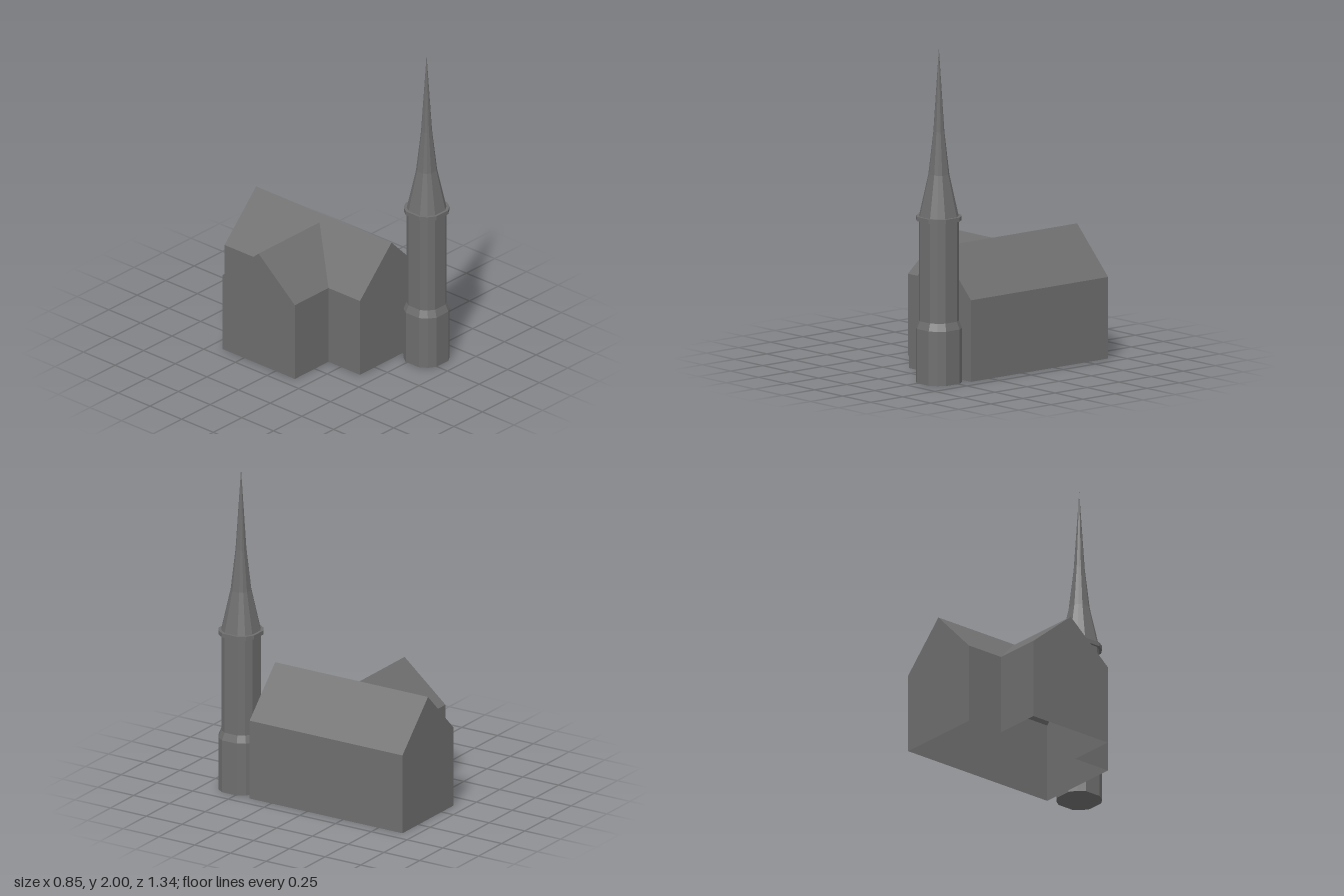
import * as THREE from 'three';

const wallMat = new THREE.MeshStandardMaterial({ color: 0x6e6e6e, flatShading: true, side: THREE.DoubleSide });
const towerMat = new THREE.MeshStandardMaterial({ color: 0x6e6e6e, flatShading: true });

// One mesh from convex faces, each a counter-clockwise list of corners
function faces(name, list) {
  const pos = [];
  for (const f of list)
    for (let i = 1; i < f.length - 1; i++) pos.push(...f[0], ...f[i], ...f[i + 1]);
  const g = new THREE.BufferGeometry();
  g.setAttribute('position', new THREE.Float32BufferAttribute(pos, 3));
  g.computeVertexNormals();
  const mesh = new THREE.Mesh(g, wallMat);
  mesh.name = name;
  return mesh;
}

// Twelve-sided turned part: corners pushed so four sides are wide and the rest narrow
function turned(name, profile) {
  const pts = profile.map(([r, y]) => new THREE.Vector2(r / Math.cos(Math.PI / 8), y));
  const g = new THREE.LatheGeometry(pts, 12, Math.PI / 4);
  const p = g.attributes.position;
  for (let i = 0; i < p.count; i++) {
    const k = Math.floor(i / pts.length);
    const a = Math.PI / 4 + Math.floor(k / 3) * Math.PI / 2 + [0, 22.5, 67.5][k % 3] * Math.PI / 180;
    const r = pts[i % pts.length].x;
    p.setX(i, r * Math.sin(a));
    p.setZ(i, r * Math.cos(a));
  }
  g.computeVertexNormals();
  const mesh = new THREE.Mesh(g, towerMat);
  mesh.name = name;
  return mesh;
}

export function createModel() {
  const model = new THREE.Group();
  model.name = 'church';

  // Nave: x0..x1, z0..z1; wing: from xw to x0, w0..w1
  const x0 = -0.13, x1 = 0.423, xr = 0.147, z0 = -0.668, z1 = 0.401;
  const xw = -0.425, w0 = -0.42, w1 = 0.152, wr = -0.134;
  const eave = 0.488, ridge = 0.768, wingRidge = 0.73;
  const xj = x0 + (xr - x0) * (wingRidge - eave) / (ridge - eave);
  const join = [xj, wingRidge, wr];

  // Nave walls, open below and towards the wing
  model.add(faces('naveWalls', [
    [[x0, 0, z1], [x1, 0, z1], [x1, eave, z1], [xr, ridge, z1], [x0, eave, z1]],
    [[x1, 0, z0], [x0, 0, z0], [x0, eave, z0], [xr, ridge, z0], [x1, eave, z0]],
    [[x1, 0, z1], [x1, 0, z0], [x1, eave, z0], [x1, eave, z1]],
    [[x0, 0, w1], [x0, 0, z1], [x0, eave, z1], [x0, eave, w1]],
    [[x0, 0, z0], [x0, 0, w0], [x0, eave, w0], [x0, eave, z0]],
  ]));

  // Nave roof, its wing side notched along the valleys
  model.add(faces('naveRoof', [
    [[x1, eave, z1], [x1, eave, z0], [xr, ridge, z0], [xr, ridge, z1]],
    [[x0, eave, w1], [x0, eave, z1], [xr, ridge, z1], join],
    [[x0, eave, z0], [x0, eave, w0], join, [xr, ridge, z0]],
    [join, [xr, ridge, z1], [xr, ridge, z0]],
  ]));

  // Side wing
  model.add(faces('wingWalls', [
    [[xw, 0, w0], [xw, 0, w1], [xw, eave, w1], [xw, wingRidge, wr], [xw, eave, w0]],
    [[xw, 0, w1], [x0, 0, w1], [x0, eave, w1], [xw, eave, w1]],
    [[x0, 0, w0], [xw, 0, w0], [xw, eave, w0], [x0, eave, w0]],
  ]));
  model.add(faces('wingRoof', [
    [[xw, eave, w1], [x0, eave, w1], join, [xw, wingRidge, wr]],
    [[x0, eave, w0], [xw, eave, w0], [xw, wingRidge, wr], join],
  ]));

  // Free-standing tower beside the front gable
  const tower = new THREE.Group();
  tower.name = 'tower';
  tower.position.set(0.298, 0, 0.542);
  tower.add(
    turned('towerShaft', [[0, 0], [0.125, 0], [0.125, 0.325], [0.109, 0.37], [0.109, 0.98]]),
    turned('towerCornice', [[0.109, 0.97], [0.124, 0.97], [0.124, 0.995], [0.108, 0.995]]),
    turned('spire', [[0.108, 0.995], [0.057, 1.245], [0.03, 1.5], [0, 2]]),
  );
  model.add(tower);
  return model;
}
